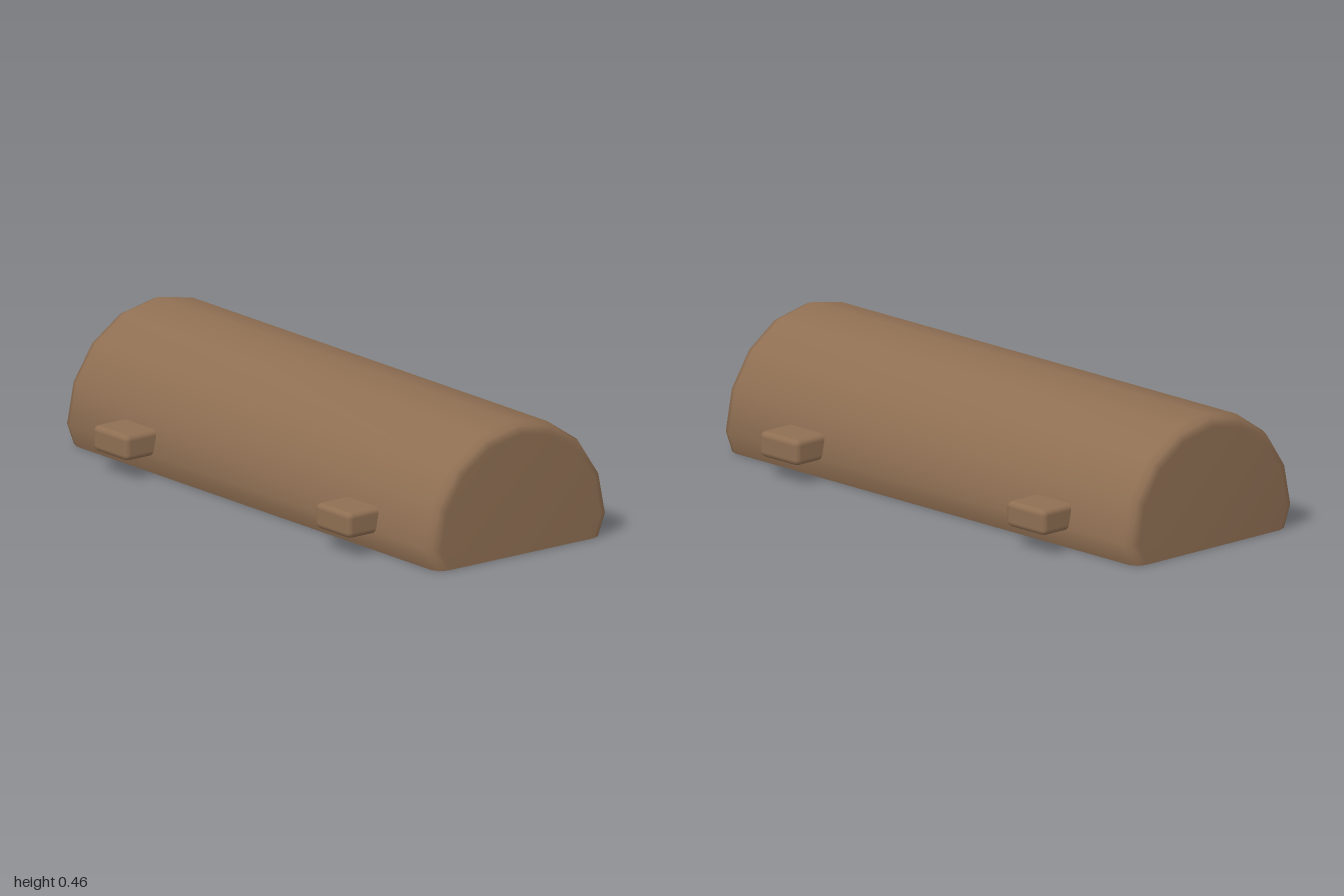
import * as THREE from 'three';
import { RoundedBoxGeometry } from 'three/addons/geometries/RoundedBoxGeometry.js';

const RADIUS = 0.385;
const AXIS_Y = 0.077;

// Half-round cross-section, pulled inward by `inset`, from the +x foot over the top to the -x foot
function section(inset) {
  const foot = 0.355 - inset;
  const points = [[foot, 0]];
  for (let i = 0; i <= 8; i++) {
    const a = (i * Math.PI) / 8;
    points.push([Math.cos(a) * (RADIUS - inset), AXIS_Y + Math.sin(a) * (RADIUS - inset)]);
  }
  points.push([-foot, 0]);
  return points;
}

function toGeometry(positions, index) {
  const g = new THREE.BufferGeometry();
  g.setAttribute('position', new THREE.Float32BufferAttribute(positions, 3));
  g.setIndex(index);
  g.computeVertexNormals();
  return g;
}

export function createModel() {
  const model = new THREE.Group();
  model.name = 'halfLog';
  const brown = new THREE.MeshStandardMaterial({ name: 'brown', color: 0x8f6f53 });

  const add = (name, geometry) => {
    const mesh = new THREE.Mesh(geometry, brown);
    mesh.name = name;
    model.add(mesh);
    return mesh;
  };

  // Stations along z: position and inset, rounding off both ends
  const half = [[0.96, 0], [0.988, 0.012], [1, 0.04]];
  const stations = [...half.map(([z, s]) => [-z, s]).reverse(), ...half];
  const rings = stations.map(([z, s]) => section(s).map(([x, y]) => [x, y, z]));
  const n = rings[0].length;
  const last = rings.length - 1;

  // Rounded shell with closed ends
  const positions = rings.flat(2);
  const index = [];
  for (let r = 0; r < last; r++) {
    for (let i = 0; i < n - 1; i++) {
      const a = r * n + i, b = a + 1, c = b + n, d = a + n;
      index.push(a, b, c, a, c, d);
    }
  }
  const backCentre = positions.length / 3;
  positions.push(0, 0, -1, 0, 0, 1);
  for (let i = 0; i < n - 1; i++) {
    index.push(backCentre, i + 1, i);
    index.push(backCentre + 1, last * n + i, last * n + i + 1);
  }
  add('logBody', toGeometry(positions, index));

  // Flat underside
  const underPositions = rings.flatMap((ring) => [...ring[0], ...ring[n - 1]]);
  const underIndex = [];
  for (let r = 0; r < last; r++) {
    const a = r * 2;
    underIndex.push(a, a + 2, a + 3, a, a + 3, a + 1);
  }
  add('underside', toGeometry(underPositions, underIndex));

  // Four side pegs
  const pegGeometry = new RoundedBoxGeometry(0.2, 0.09, 0.188, 2, 0.02);
  for (const [side, x] of [['left', 1], ['right', -1]]) {
    for (const [end, z] of [['Front', 1], ['Back', -1]]) {
      add(`${side}${end}Peg`, pegGeometry).position.set(x * 0.4, 0.117, z * 0.602);
    }
  }

  return model;
}
